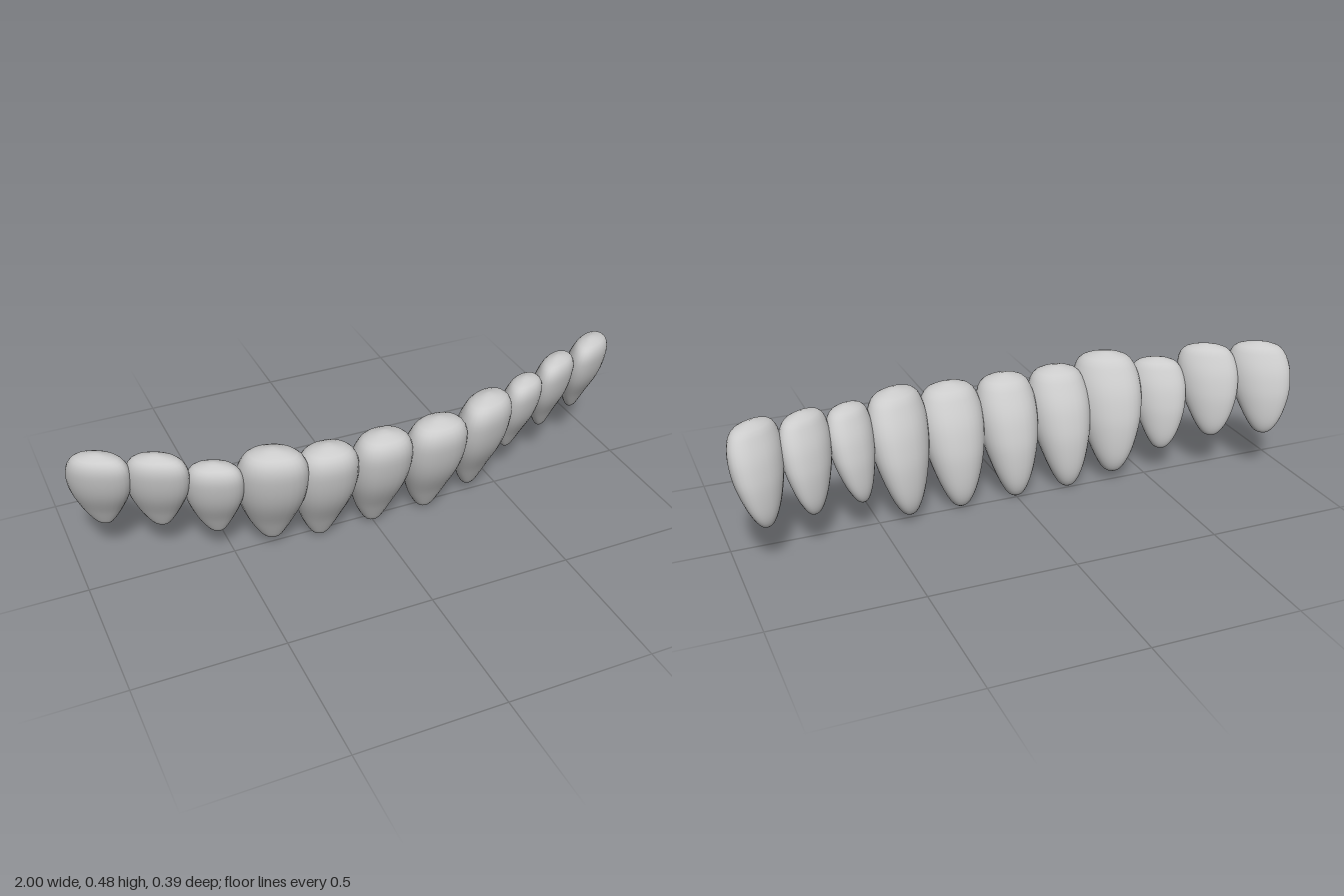
import * as THREE from 'three';
import { mergeVertices } from 'three/addons/utils/BufferGeometryUtils.js';

// Profile from tip to crown: height, half width, front edge, back edge (all relative)
const PROFILE = [
  [0, 0, 0.23, 0.23],
  [0.03, 0.24, 0.35, 0.11],
  [0.12, 0.46, 0.45, 0.03],
  [0.25, 0.67, 0.58, 0],
  [0.42, 0.87, 0.77, 0.01],
  [0.56, 0.97, 0.89, 0.06],
  [0.71, 1, 0.97, 0.15],
  [0.85, 0.92, 1, 0.29],
  [0.95, 0.66, 0.92, 0.43],
  [1, 0, 0.68, 0.68],
];
const spline = (a, b) => new THREE.CatmullRomCurve3(
  PROFILE.map((p) => new THREE.Vector3(p[a], p[b], 0)), false, 'catmullrom', 0.5);
const widthCurve = spline(0, 1);
const depthCurve = spline(2, 3);

// Left edge, right edge, bottom, top, back, front, sideways slant, tip shift
const TEETH = [
  [-1.0, -0.81, 0.15, 0.475, -0.178, -0.008, 0.42, 0.01],
  [-0.83, -0.64, 0.14, 0.467, -0.105, 0.06, 0.4, 0.012],
  [-0.655, -0.475, 0.097, 0.422, -0.052, 0.112, 0.32, 0.015],
  [-0.495, -0.27, 0.03, 0.456, -0.045, 0.178, 0.24, 0.015],
  [-0.305, -0.09, 0, 0.427, -0.035, 0.188, 0.05, 0],
  [-0.107, 0.107, 0, 0.427, -0.035, 0.19, 0, 0],
  [0.09, 0.315, 0, 0.427, -0.035, 0.188, -0.05, 0],
  [0.295, 0.515, 0.023, 0.45, -0.068, 0.155, -0.28, -0.01],
  [0.5, 0.665, 0.118, 0.443, -0.087, 0.083, -0.34, -0.02],
  [0.65, 0.83, 0.135, 0.464, -0.138, 0.03, -0.42, -0.005],
  [0.815, 1.0, 0.148, 0.48, -0.19, -0.015, -0.42, -0.01],
];

const soften = (v) => Math.sign(v) * Math.abs(v) ** 0.88;

// A sphere whose rings are reshaped to follow the profile
function toothGeometry([x0, x1, y0, y1, z0, z1, slant, tipShift]) {
  const geometry = new THREE.SphereGeometry(1, 28, 27);
  const pos = geometry.attributes.position;
  const uv = geometry.attributes.uv;
  for (let i = 0; i < pos.count; i++) {
    const u = uv.getY(i);
    const angle = Math.atan2(pos.getZ(i), pos.getX(i));
    const { x: t, y: w } = widthCurve.getPoint(u);
    const { x: front, y: back } = depthCurve.getPoint(u);
    const c = soften(Math.cos(angle));
    const s = soften(Math.sin(angle));
    const taper = 1 - 0.1 * Math.max(0, -s); // narrower at the back
    const dx = c * w * taper * (x1 - x0) / 2;
    const depth = (front + back) / 2 + s * (front - back) / 2;
    pos.setXYZ(i,
      (x0 + x1) / 2 + dx + tipShift * (1 - t) ** 2,
      y0 + t * (y1 - y0),
      z0 + depth * (z1 - z0) + dx * slant);
  }
  geometry.deleteAttribute('uv');
  geometry.deleteAttribute('normal');
  const welded = mergeVertices(geometry, 1e-5);
  welded.computeVertexNormals();
  return welded;
}

export function createModel() {
  const group = new THREE.Group();
  group.name = 'toothRow';
  const material = new THREE.MeshStandardMaterial({ color: 0xcccccc });
  TEETH.forEach((tooth, i) => {
    const mesh = new THREE.Mesh(toothGeometry(tooth), material);
    mesh.name = `tooth${i + 1}`;
    group.add(mesh);
  });
  return group;
}
